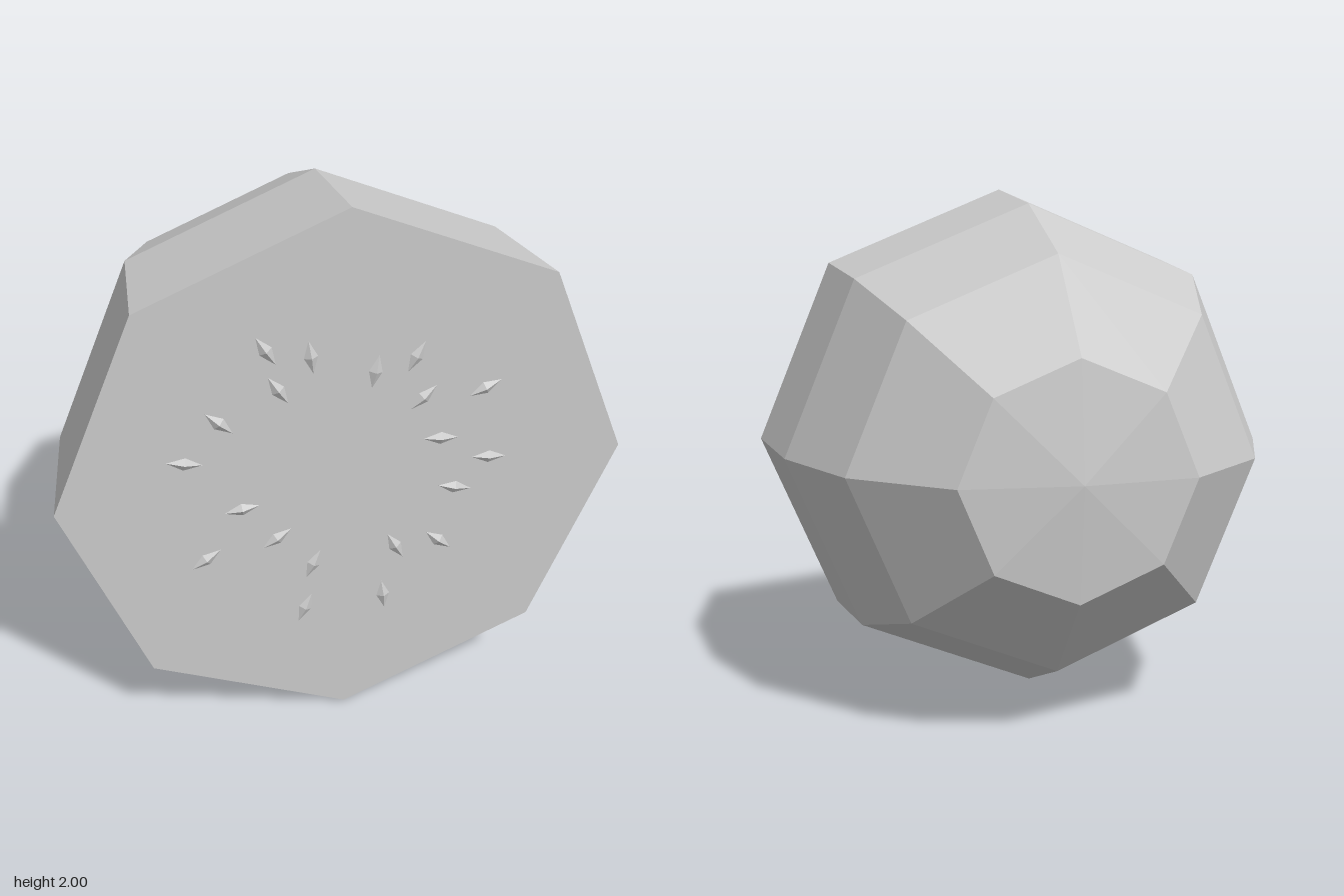
import * as THREE from 'three';

const grey = new THREE.MeshStandardMaterial({ color: 0xcccccc, flatShading: true });
const FACE_Z = 0.63;

// x, y and tilt in degrees of each seed on the cut face
const SEEDS = [
  [-0.28, 1.53, -58], [-0.13, 1.49, -82], [-0.24, 1.38, -57], [-0.44, 1.28, -43],
  [-0.56, 1.14, -11], [0.09, 1.41, 79], [0.23, 1.45, 62], [0.26, 1.29, 43],
  [0.48, 1.30, 25], [0.33, 1.12, -4], [0.51, 1.02, -5], [0.39, 0.91, -13],
  [-0.37, 0.93, 8], [-0.50, 0.74, 34], [-0.25, 0.79, 34], [-0.12, 0.66, 65],
  [-0.15, 0.47, 67], [0.18, 0.69, -61], [0.34, 0.69, -41], [0.14, 0.48, -83],
];

export function createModel() {
  const model = new THREE.Group();
  model.name = 'halfFruit';

  // Eight-sided half shell, closed by the flat cut face
  const profile = [[0, -0.645], [0.43, -0.6], [0.768, -0.3], [0.943, 0.13], [1, FACE_Z], [0, FACE_Z]]
    .map(([r, z]) => new THREE.Vector2(r, z));
  const bodyGeometry = new THREE.LatheGeometry(profile, 8).rotateX(Math.PI / 2);
  const body = new THREE.Mesh(bodyGeometry, grey);
  body.name = 'fruitBody';
  body.position.y = 1;
  model.add(body);

  // Slim diamond seeds half sunk into the cut face
  const seeds = new THREE.Group();
  seeds.name = 'seeds';
  const seedGeometry = new THREE.OctahedronGeometry(1).scale(0.062, 0.024, 0.015);
  for (const [x, y, tilt] of SEEDS) {
    const seed = new THREE.Mesh(seedGeometry, grey);
    seed.name = 'seed';
    seed.position.set(x, y, FACE_Z);
    seed.rotation.z = THREE.MathUtils.degToRad(tilt);
    seeds.add(seed);
  }
  model.add(seeds);

  return model;
}
